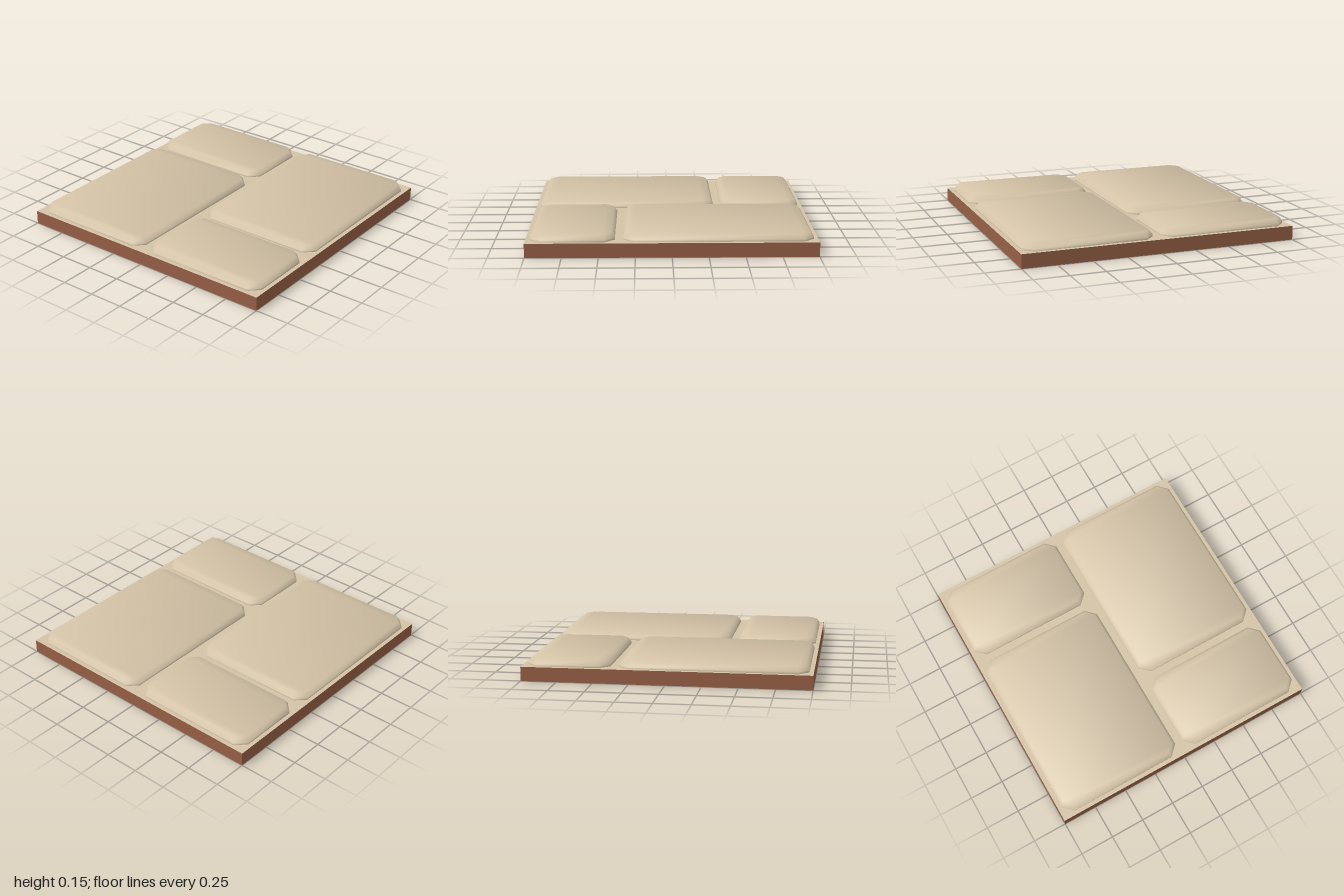
import * as THREE from 'three';

const TOP = 0.1;      // height of the mortar bed
const CHAMFER = 0.07; // cut corners of the stones
const RIM = 0.015;    // upright part of a stone's side

// Rectangle with cut corners, as [x, z] points
function octagon(a, b, c) {
  return [[-a + c, -b], [-a, -b + c], [-a, b - c], [-a + c, b],
    [a - c, b], [a, b - c], [a, -b + c], [a - c, -b]];
}

// Stone: short upright rim, bevel, cap with softened normals, and a flat underside
function stoneGeometry(a, b) {
  const inset = 0.025, height = 0.05;
  const outer = octagon(a, b, CHAMFER);
  const inner = octagon(a - inset, b - inset, CHAMFER - 0.586 * inset);
  const position = [], normal = [], index = [];
  const add = ([x, z], y, n) => {
    position.push(x, y, z);
    normal.push(n.x, n.y, n.z);
    return position.length / 3 - 1;
  };
  const quad = (p, q, r, s) => index.push(p, q, r, p, r, s);

  // Outward direction of each side, and of its bevel, blended at the corners
  const up = new THREE.Vector3(0, 1, 0);
  const down = new THREE.Vector3(0, -1, 0);
  const side = outer.map(([x, z], i) => {
    const [x2, z2] = outer[(i + 1) % 8];
    return new THREE.Vector3(z - z2, 0, x2 - x).normalize();
  });
  const bevel = side.map((n) => n.clone().multiplyScalar(height - RIM).setY(inset).normalize());
  const blend = (list) => list.map((n, i) => n.clone().add(list[(i + 7) % 8]));
  const wall = blend(side).map((n) => n.normalize());
  const edge = blend(bevel).map((n) => n.normalize());
  const soft = blend(bevel).map((n) => n.addScaledVector(up, 2).normalize());

  for (let i = 0; i < 8; i++) {
    const j = (i + 1) % 8;
    quad(add(outer[i], 0, wall[i]), add(outer[j], 0, wall[j]),
      add(outer[j], RIM, edge[j]), add(outer[i], RIM, edge[i]));
    quad(add(outer[i], RIM, edge[i]), add(outer[j], RIM, edge[j]),
      add(inner[j], height, soft[j]), add(inner[i], height, soft[i]));
  }
  const cap = inner.map((p, i) => add(p, height, soft[i]));
  const base = outer.map((p) => add(p, RIM, down));
  for (const q of [[0, 1, 2, 3], [0, 3, 4, 7], [7, 4, 5, 6]]) {
    quad(...q.map((i) => cap[i]));
    quad(...q.map((i) => base[i]).reverse());
  }

  const geometry = new THREE.BufferGeometry();
  geometry.setAttribute('position', new THREE.Float32BufferAttribute(position, 3));
  geometry.setAttribute('normal', new THREE.Float32BufferAttribute(normal, 3));
  geometry.setIndex(index);
  return geometry;
}

export function createModel() {
  const model = new THREE.Group();
  model.name = 'pavingTile';
  const sand = new THREE.MeshStandardMaterial({ name: 'sandStone', color: 0xd4c3a7, side: THREE.DoubleSide });
  const clay = new THREE.MeshStandardMaterial({ name: 'redClay', color: 0x965f45, side: THREE.DoubleSide });

  const addMesh = (name, geometry, material) => {
    const mesh = new THREE.Mesh(geometry, material);
    mesh.name = name;
    model.add(mesh);
    return mesh;
  };

  // Four thin side walls, open underneath
  ['frontWall', 'leftWall', 'backWall', 'rightWall'].forEach((name, i) => {
    const wall = new THREE.PlaneGeometry(2, TOP).translate(0, TOP / 2, 1).rotateY(i * Math.PI / 2);
    addMesh(name, wall, clay);
  });

  // Two rows of one wide and one narrow stone, the second row turned half round
  const bed = new THREE.Shape([[-1, -1], [1, -1], [1, 1], [-1, 1]].map(([x, y]) => new THREE.Vector2(x, y)));
  for (const turn of [1, -1]) {
    for (const [name, x, a] of [['wideStone', 0.32, 0.65], ['narrowStone', -0.68, 0.29]]) {
      const cx = x * turn, cz = 0.5 * turn, b = 0.47;
      addMesh((turn > 0 ? 'front ' : 'back ') + name, stoneGeometry(a, b), sand).position.set(cx, TOP, cz);
      bed.holes.push(new THREE.Path(octagon(a, b, CHAMFER).map(([px, pz]) => new THREE.Vector2(px + cx, -(pz + cz)))));
    }
  }

  // Mortar bed between the stones
  addMesh('mortarBed', new THREE.ShapeGeometry(bed).rotateX(-Math.PI / 2).translate(0, TOP, 0), sand);
  return model;
}
